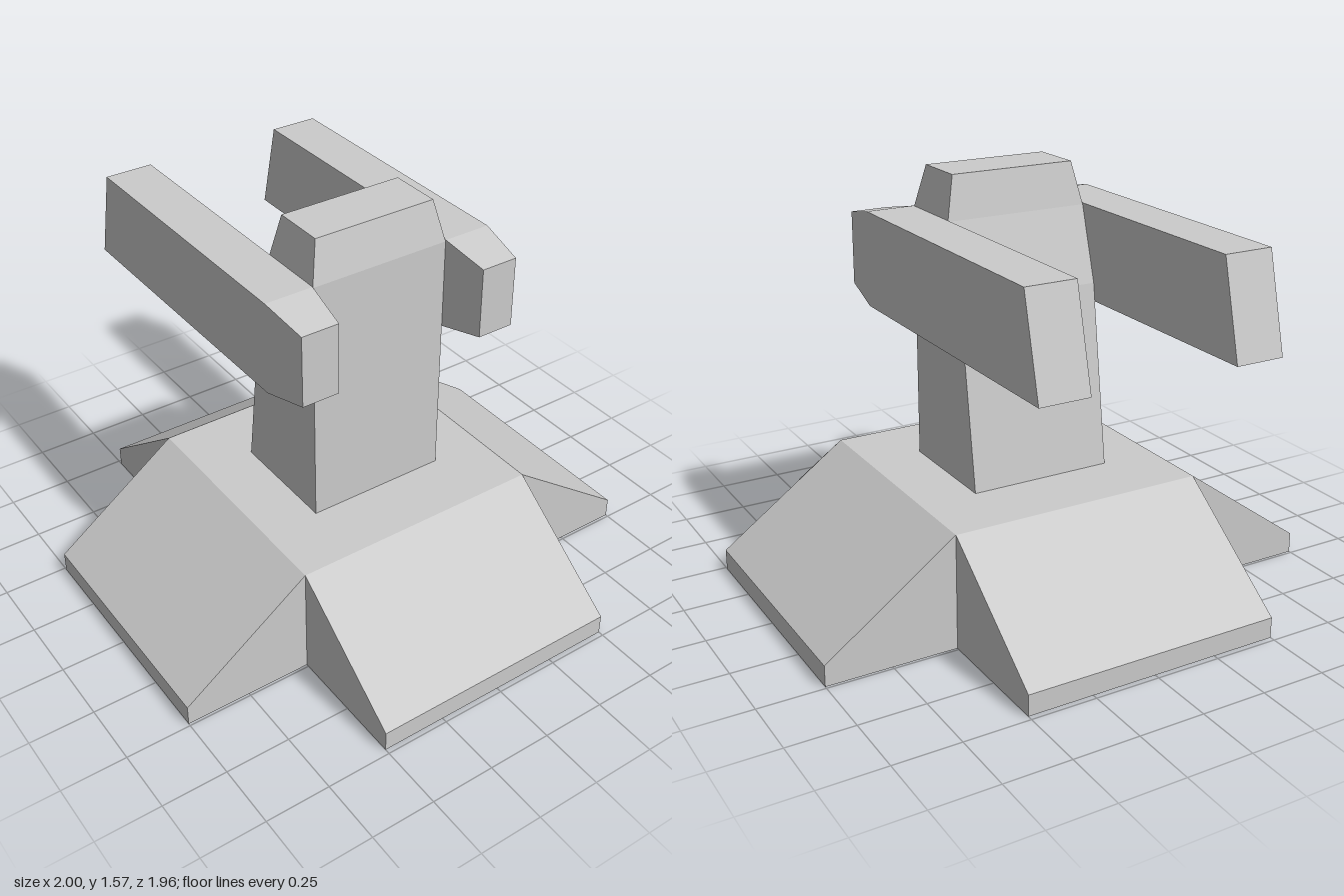
import * as THREE from 'three';

const material = new THREE.MeshStandardMaterial({ color: 0xcccccc, flatShading: true });

// Closed solid through four-cornered sections, each counter-clockwise seen from the last one's end
function loft(sections) {
  const pos = [];
  const quad = (a, b, c, d) => pos.push(...a, ...b, ...c, ...a, ...c, ...d);
  for (let s = 0; s < sections.length - 1; s++) {
    const lo = sections[s], hi = sections[s + 1];
    for (let i = 0; i < 4; i++) {
      const j = (i + 1) % 4;
      quad(lo[i], lo[j], hi[j], hi[i]);
    }
  }
  quad(...[...sections[0]].reverse());
  quad(...sections[sections.length - 1]);
  const geo = new THREE.BufferGeometry();
  geo.setAttribute('position', new THREE.Float32BufferAttribute(pos, 3));
  geo.computeVertexNormals();
  return geo;
}

// Horizontal section: height, half width, front z, back z
const level = (y, w, front, back) => [[-w, y, front], [w, y, front], [w, y, back], [-w, y, back]];

// Upright section across an arm, with separate z for its bottom and top edges
const slice = (x0, x1, y0, y1, zBottom, zTop = zBottom) =>
  [[x0, y0, zBottom], [x1, y0, zBottom], [x1, y1, zTop], [x0, y1, zTop]];

export function createModel() {
  const model = new THREE.Group();
  const add = (name, geo, parent = model) => {
    const mesh = new THREE.Mesh(geo, material);
    mesh.name = name;
    parent.add(mesh);
    return mesh;
  };

  // Cross-shaped base: central block with four sloping feet
  const base = new THREE.Group();
  base.name = 'base';
  model.add(base);
  add('baseBlock', new THREE.BoxGeometry(1, 0.44, 0.98).translate(0, 0.22, 0), base);
  const feet = [
    ['leftFoot', 0.5, 0.5, 0.98],
    ['backFoot', 0.49, 0.49, 1],
    ['rightFoot', 0.5, 0.5, 0.98],
    ['frontFoot', 0.49, 0.49, 1],
  ];
  feet.forEach(([name, start, length, width], i) => {
    const profile = new THREE.Shape([
      new THREE.Vector2(start, 0),
      new THREE.Vector2(start + length, 0),
      new THREE.Vector2(start + length, 0.08),
      new THREE.Vector2(start, 0.44),
    ]);
    const geo = new THREE.ExtrudeGeometry(profile, { depth: width, bevelEnabled: false });
    geo.translate(0, 0, -width / 2);
    add(name, geo, base).rotation.y = i * Math.PI / 2;
  });

  // Column leaning forward at the back, with a bevelled cap
  add('column', loft([
    level(0.44, 0.28, 0.23, -0.225),
    level(1.13, 0.28, 0.23, -0.125),
    level(1.41, 0.28, 0.23, -0.04),
    level(1.57, 0.245, 0.195, -0.01),
  ]));

  // Long side arms with slanted rear ends and tapered noses
  for (const [name, cx] of [['leftArm', 0.375], ['rightArm', -0.375]]) {
    add(name, loft([
      slice(cx - 0.094, cx + 0.094, 1.06, 1.415, -0.98, -0.89),
      slice(cx - 0.094, cx + 0.094, 1.06, 1.415, 0.23),
      slice(cx - 0.073, cx + 0.073, 1.1, 1.375, 0.415),
    ])).userData.side = name;
  }

  return model;
}
